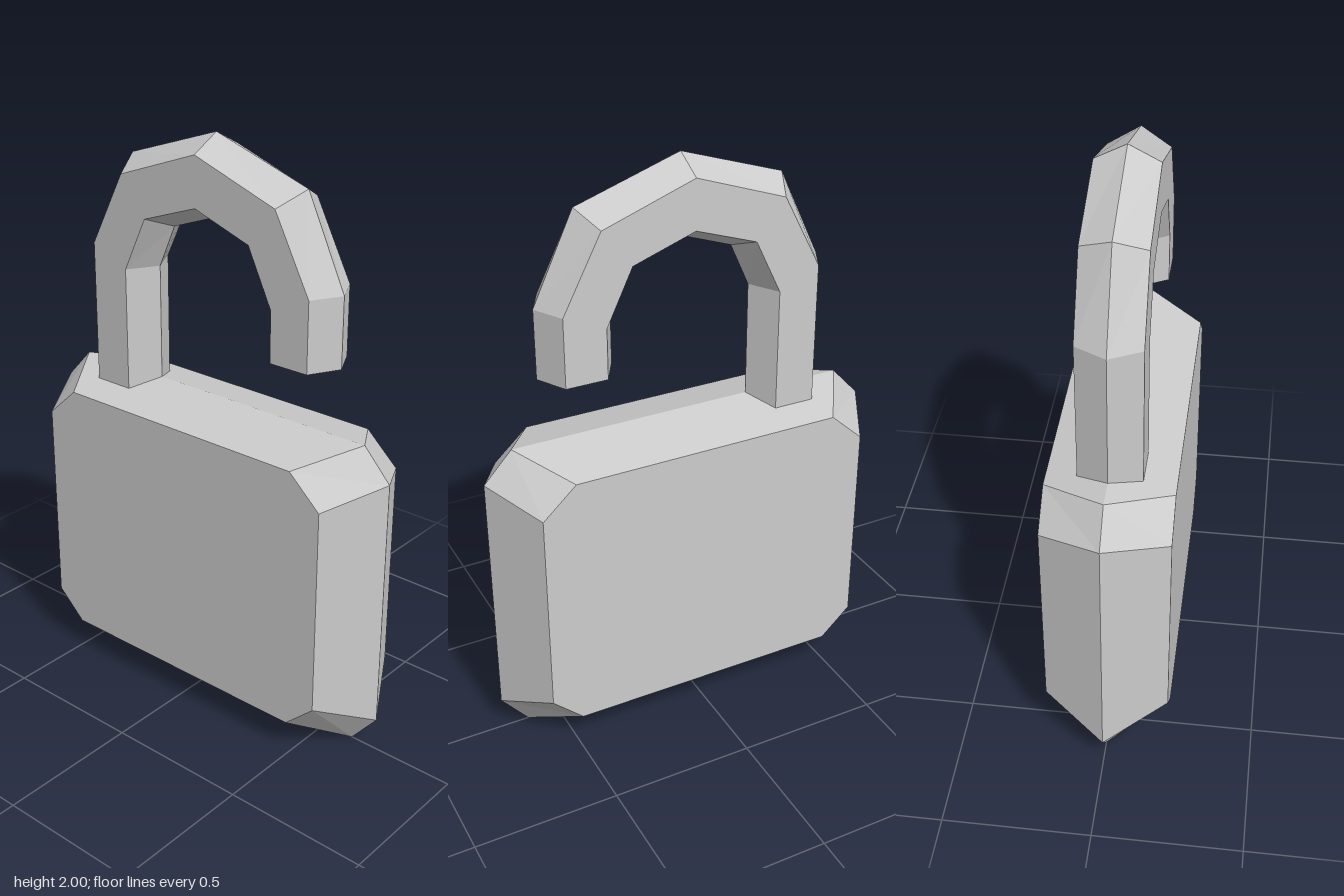
import * as THREE from 'three';

// Skins a row of matching closed cross-sections and caps both ends.
function loft(rings) {
  const pos = [];
  const tri = (...pts) => pts.forEach((p) => pos.push(...p));
  const n = rings[0].length;
  for (let i = 0; i < rings.length - 1; i++) {
    for (let j = 0; j < n; j++) {
      const k = (j + 1) % n;
      const [a, b, c, d] = [rings[i][j], rings[i][k], rings[i + 1][k], rings[i + 1][j]];
      tri(a, b, c);
      tri(a, c, d);
    }
  }
  const first = rings[0], last = rings[rings.length - 1];
  for (let j = 1; j < n - 1; j++) {
    tri(first[0], first[j + 1], first[j]);
    tri(last[0], last[j], last[j + 1]);
  }
  const geometry = new THREE.BufferGeometry();
  geometry.setAttribute('position', new THREE.Float32BufferAttribute(pos, 3));
  geometry.computeVertexNormals();
  return geometry;
}

// Octagonal body section: right half from bottom to top, then mirrored.
function bodyRing(half, z) {
  const right = half.map(([x, y]) => [x, y, z]);
  const left = half.map(([x, y]) => [-x, y, z]).reverse();
  return [...right, ...left];
}

// Six-sided shackle section from its outer ridge, outer edge, inner edge and inner ridge.
function shackleRing([ridge, outer, inner, innerRidge], side) {
  const t = 0.105;
  const at = ([x, y], z) => [side * x, y, z];
  return [at(ridge, 0), at(outer, t), at(inner, t), at(innerRidge, 0), at(inner, -t), at(outer, -t)];
}

export function createModel() {
  const group = new THREE.Group();
  group.name = 'padlock';
  const material = new THREE.MeshStandardMaterial({ color: 0xcccccc, flatShading: true });
  const add = (name, geometry) => {
    const mesh = new THREE.Mesh(geometry, material);
    mesh.name = name;
    group.add(mesh);
  };

  // Body: wide middle outline, sloping in to the front and back faces
  const face = [[0.487, 0.115], [0.595, 0.215], [0.595, 0.945], [0.477, 1.052]];
  const middle = [[0.615, 0], [0.71, 0.115], [0.71, 1.0], [0.61, 1.107]];
  add('body', loft([bodyRing(face, -0.21), bodyRing(middle, 0), bodyRing(face, 0.21)]));

  // Shackle: long leg set into the body, faceted arch, short free leg
  const leg = (y) => [[0.51, y], [0.455, y], [0.31, y], [0.25, y]];
  const spring = [[0.51, 1.575], [0.455, 1.575], [0.31, 1.51], [0.25, 1.51]];
  const shoulder = [[0.365, 1.88], [0.32, 1.832], [0.218, 1.7], [0.182, 1.66]];
  const crown = [[0, 2], [0, 1.945], [0, 1.775], [0, 1.725]];
  add('shackle', loft([
    shackleRing(leg(1.02), -1),
    shackleRing(spring, -1),
    shackleRing(shoulder, -1),
    shackleRing(crown, 1),
    shackleRing(shoulder, 1),
    shackleRing(spring, 1),
    shackleRing(leg(1.335), 1),
  ]));

  return group;
}
